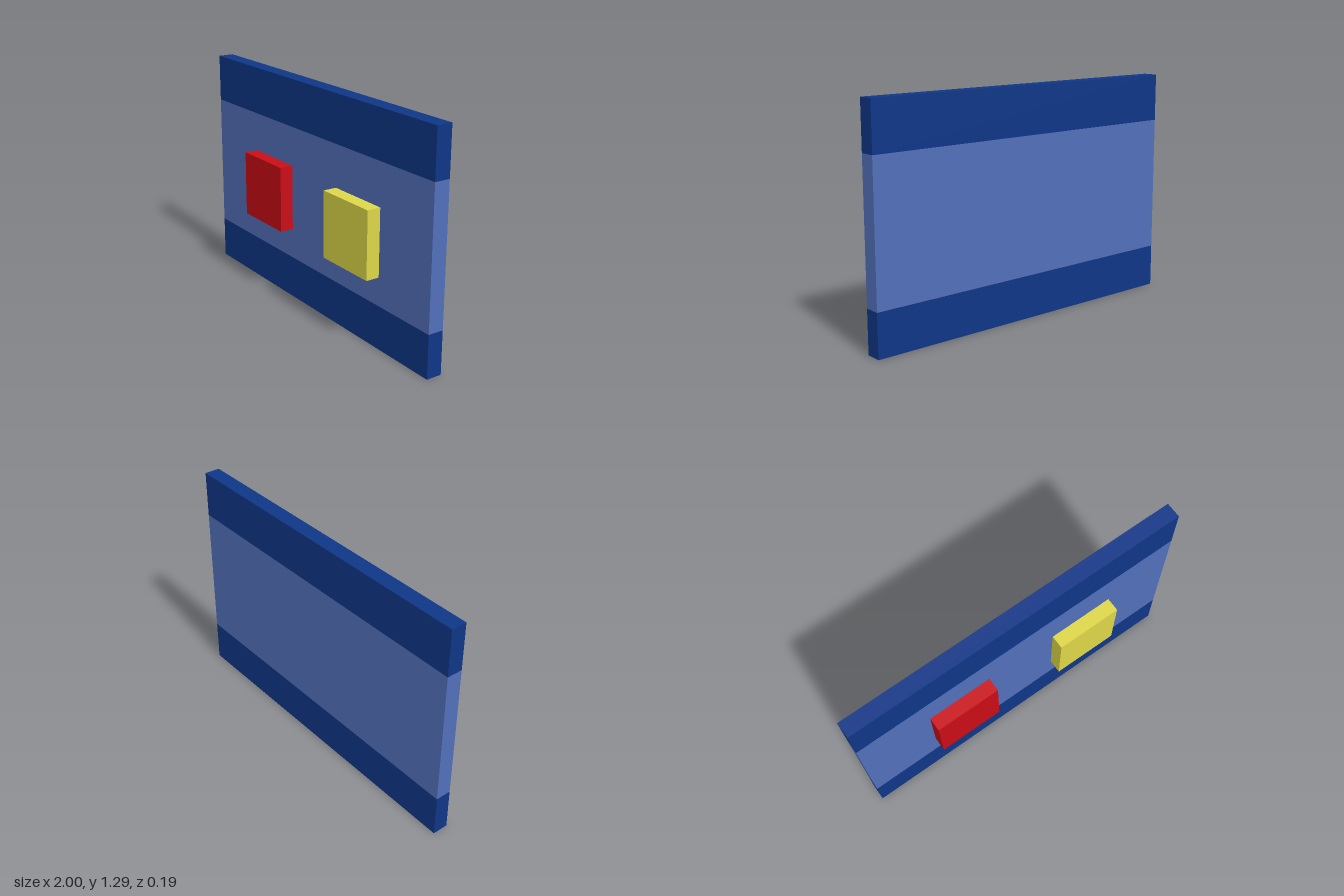
import * as THREE from 'three';

// Box given by its limits on each axis
function slab(name, color, [x0, x1], [y0, y1], [z0, z1]) {
  const mesh = new THREE.Mesh(
    new THREE.BoxGeometry(x1 - x0, y1 - y0, z1 - z0),
    new THREE.MeshStandardMaterial({ color })
  );
  mesh.position.set((x0 + x1) / 2, (y0 + y1) / 2, (z0 + z1) / 2);
  mesh.name = name;
  return mesh;
}

export function createModel() {
  const group = new THREE.Group();
  group.name = 'wallPanel';

  // Panel: three stacked horizontal bands
  const width = [-1, 1], depth = [-0.082, 0.008];
  const panel = new THREE.Group();
  panel.name = 'panel';
  panel.add(
    slab('lowerBand', 0x0f3687, width, [0, 0.245], depth),
    slab('middleBand', 0x5270ba, width, [0.245, 1.025], depth),
    slab('upperBand', 0x0f3687, width, [1.025, 1.295], depth)
  );

  // Square buttons standing proud of the front
  const raised = [0, 0.087];
  group.add(
    panel,
    slab('redButton', 0xc90d16, [-0.58, -0.2], [0.42, 0.8], raised),
    slab('yellowButton', 0xddd648, [0.22, 0.6], [0.405, 0.785], raised)
  );

  // The whole panel is turned very slightly
  group.rotation.y = -0.0115;
  return group;
}
